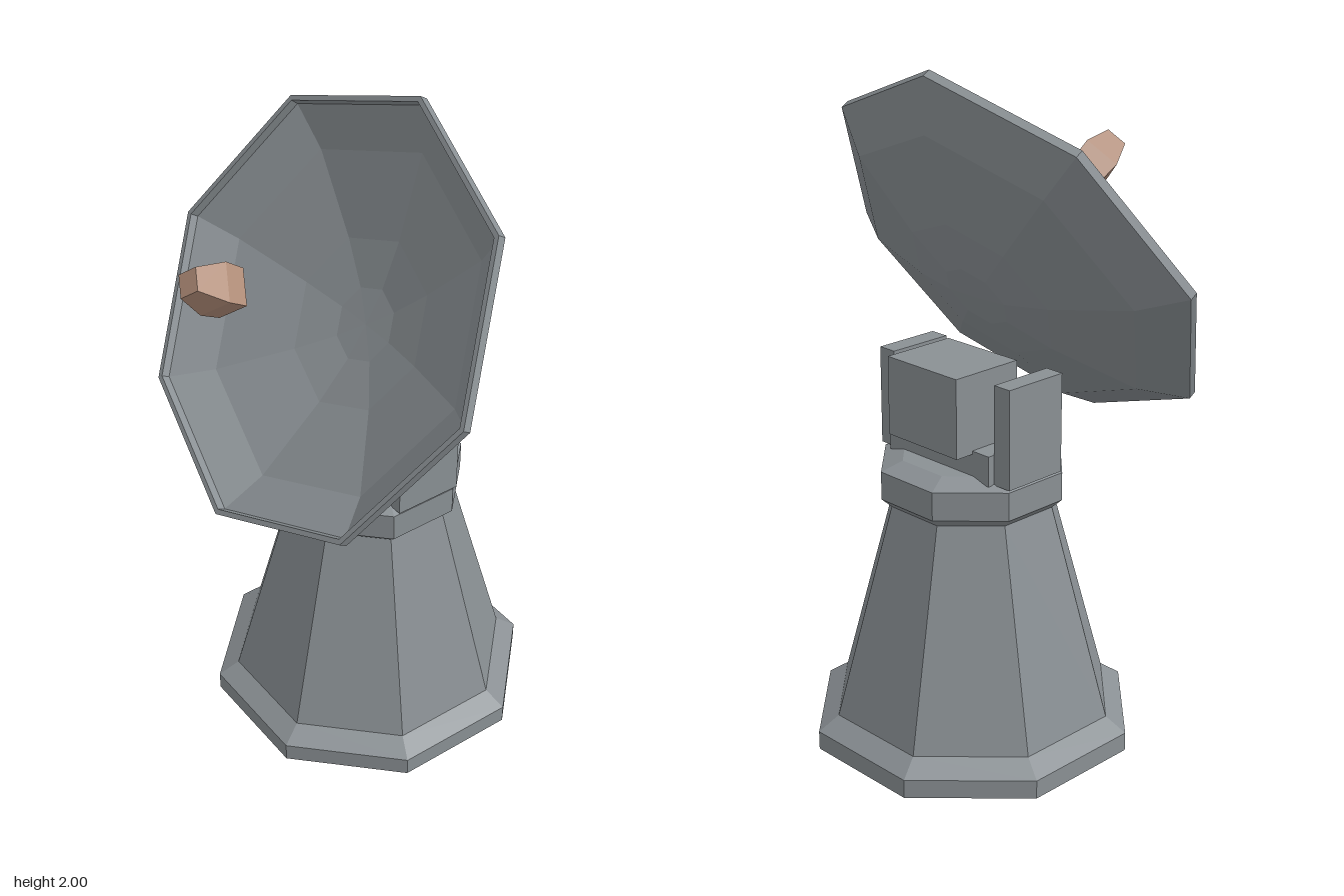
import * as THREE from 'three';

// Eight- or four-sided faceted solid from a profile of [radius, height] pairs
function faceted(profile, sides, start = 0) {
  const points = profile.map(([r, y]) => new THREE.Vector2(r, y));
  const geo = new THREE.LatheGeometry(points, sides, start).toNonIndexed();
  geo.computeVertexNormals();
  return geo;
}

export function createModel() {
  const metal = new THREE.MeshStandardMaterial({ color: 0x8a9094, side: THREE.DoubleSide });
  metal.name = 'grey metal';
  const copper = new THREE.MeshStandardMaterial({ color: 0xb08c78 });
  copper.name = 'copper';

  const model = new THREE.Group();
  model.name = 'dishAntenna';

  const add = (parent, name, geo, mat, x = 0, y = 0, z = 0) => {
    const mesh = new THREE.Mesh(geo, mat);
    mesh.name = name;
    mesh.position.set(x, y, z);
    parent.add(mesh);
    return mesh;
  };

  // Hollow octagonal tower with flared foot and collar (profile given across the flats)
  const toCorner = 1 / Math.cos(Math.PI / 8);
  const tower = [
    [0.4525, 0], [0.4525, 0.057], [0.395, 0.1], [0.23, 0.743],
    [0.258, 0.77], [0.258, 0.855], [0.197, 0.88], [0, 0.88],
  ].map(([r, y]) => [r * toCorner, y]);
  add(model, 'tower', faceted(tower, 8, Math.PI / 8), metal, 0, 0, -0.073);

  // Yoke: two side arms joined by a low crossbar
  const yoke = new THREE.Group();
  yoke.name = 'yoke';
  model.add(yoke);
  for (const side of [-1, 1]) {
    add(yoke, side > 0 ? 'leftArm' : 'rightArm',
      new THREE.BoxGeometry(0.06, 0.295, 0.207), metal, side * 0.235, 1.0125, -0.083);
  }
  add(yoke, 'crossbar', new THREE.BoxGeometry(0.41, 0.09, 0.215), metal, 0, 0.91, -0.1);

  // Drive housing between the arms
  add(model, 'driveHousing', new THREE.BoxGeometry(0.28, 0.235, 0.235), metal, 0, 1.0625, -0.15);

  // Dish and feed horn share one tilted axis; the origin is the centre of the rim
  const head = new THREE.Group();
  head.name = 'tiltedHead';
  head.position.set(0, 1.4525, 0.1225);
  head.rotation.x = 1.005;
  model.add(head);

  // Shallow dish: outer shell, flat lip, inner shell
  const dish = [
    [0, -0.213], [0.11, -0.21], [0.257, -0.184], [0.514, -0.11], [0.648, -0.026],
    [0.648, 0], [0.632, 0], [0.628, -0.024],
    [0.508, -0.102], [0.255, -0.177], [0.11, -0.203], [0, -0.206],
  ];
  add(head, 'dish', faceted(dish, 8), metal);

  // Four-sided feed horn floating at the focus
  const horn = [[0, 0.309], [0.074, 0.309], [0.079, 0.373], [0.046, 0.459], [0, 0.459]];
  add(head, 'feedHorn', faceted(horn, 4), copper);

  return model;
}
